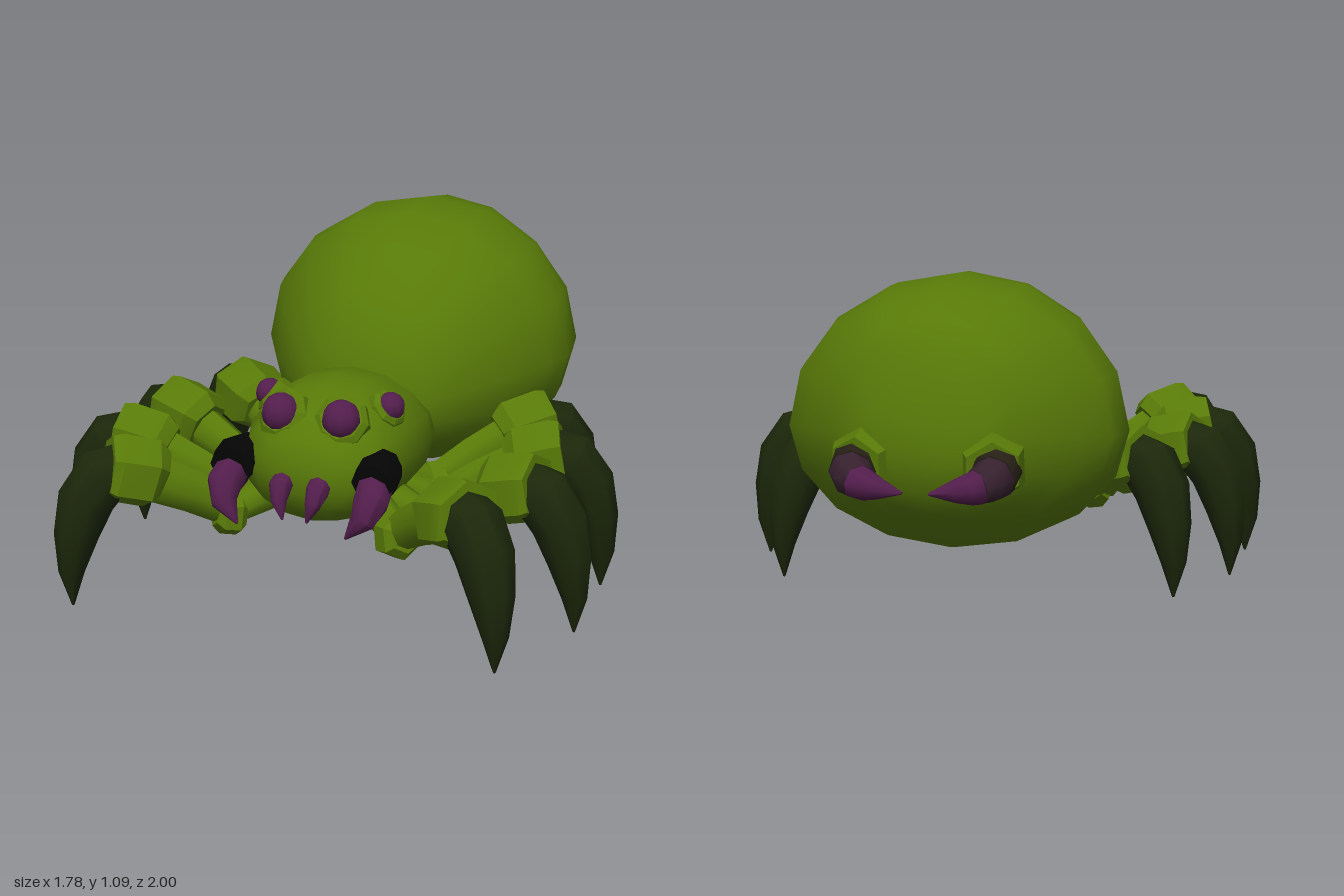
import * as THREE from 'three';
import { toCreasedNormals } from 'three/addons/utils/BufferGeometryUtils.js';

const V = (x, y, z) => new THREE.Vector3(x, y, z);
const mat = (name, color) => new THREE.MeshStandardMaterial({ name, color });

// Closed skin over rings along a path; a radius is a number or [across, upward, downward].
function sweep(path, radii, sides, across, axis, crease) {
  const pos = [], index = [], n = path.length;
  path.forEach((p, i) => {
    const t = axis ? axis.clone()
      : path[Math.min(i + 1, n - 1)].clone().sub(path[Math.max(i - 1, 0)]).normalize();
    const a = across.clone().addScaledVector(t, -across.dot(t)).normalize();
    const up = t.clone().cross(a);
    const [ra, ru = ra, rd = ru] = [radii[i]].flat();
    for (let j = 0; j < sides; j++) {
      const w = Math.PI / 2 + (j / sides) * Math.PI * 2, s = Math.sin(w);
      const q = p.clone().addScaledVector(a, Math.cos(w) * ra)
        .addScaledVector(up, s * (s * up.y > 0 ? ru : rd));
      pos.push(q.x, q.y, q.z);
    }
  });
  const first = n * sides, last = first + 1;
  pos.push(...path[0].toArray(), ...path[n - 1].toArray());
  for (let j = 0; j < sides; j++) {
    const k = (j + 1) % sides;
    for (let i = 0; i < n - 1; i++) {
      const a = i * sides, b = a + sides;
      index.push(a + j, a + k, b + j, a + k, b + k, b + j);
    }
    index.push(first, k, j, last, (n - 1) * sides + j, (n - 1) * sides + k);
  }
  const g = new THREE.BufferGeometry();
  g.setAttribute('position', new THREE.Float32BufferAttribute(pos, 3));
  g.setIndex(index);
  if (crease) return toCreasedNormals(g, crease);
  g.computeVertexNormals();
  return g;
}

export function createModel() {
  const root = new THREE.Group();
  root.name = 'spider';
  const green = mat('leafGreen', 0x587a08);
  const dark = mat('darkGreen', 0x1c270a);
  const brown = mat('darkBrown', 0x262016);
  const plum = mat('darkPlum', 0x36202e);
  const purple = mat('purple', 0x531e4d);
  const black = mat('black', 0x050505);

  const add = (name, geo, material, parent = root) => {
    const m = new THREE.Mesh(geo, material);
    m.name = name;
    parent.add(m);
    return m;
  };

  // Body sections: [z, top, bottom, half width]; k is the share of height above the widest line
  const body = (name, rows, dir, k) => add(name, sweep(
    rows.map(([z, t, b]) => V(0, t - k * (t - b), z)),
    rows.map(([, t, b, w]) => [w, k * (t - b), (1 - k) * (t - b)]),
    16, V(1, 0, 0), V(0, 0, dir)), green);

  body('abdomen', [
    [0.22, 0.63, 0.47, 0.1], [0.18, 0.76, 0.38, 0.22], [0.1, 0.9, 0.31, 0.315],
    [-0.04, 1.01, 0.25, 0.42], [-0.22, 1.08, 0.21, 0.515], [-0.33, 1.088, 0.2, 0.545],
    [-0.45, 1.09, 0.215, 0.535], [-0.53, 1.075, 0.235, 0.52], [-0.64, 1.055, 0.28, 0.435],
    [-0.74, 0.99, 0.35, 0.345], [-0.8, 0.94, 0.4, 0.27], [-0.84, 0.79, 0.47, 0.2],
    [-0.865, 0.7, 0.54, 0.1]], -1, 0.555);
  body('head', [
    [0.08, 0.55, 0.35, 0.15], [0.16, 0.61, 0.3, 0.235], [0.28, 0.68, 0.25, 0.27],
    [0.42, 0.7, 0.24, 0.275], [0.55, 0.69, 0.25, 0.265], [0.65, 0.64, 0.28, 0.235],
    [0.72, 0.58, 0.33, 0.16], [0.745, 0.51, 0.4, 0.08]], 1, 0.5);

  // Legs: coxa x, coxa z, foot x, foot z
  const legs = [
    ['frontLeg', 0.285, 0.645, 0.695, 0.942],
    ['frontMiddleLeg', 0.335, 0.5, 0.845, 0.585],
    ['rearMiddleLeg', 0.325, 0.33, 0.83, 0.2],
    ['rearLeg', 0.25, 0.165, 0.665, -0.13]];

  // Eyes: centre, outward direction, radius
  const eyes = [
    ['frontEye', V(0.1, 0.625, 0.645), V(0.18, 0.6, 0.78), 0.062],
    ['sideEye', V(0.202, 0.632, 0.495), V(0.74, 0.64, 0.2), 0.046]];

  for (const side of [1, -1]) {
    const tag = side > 0 ? 'left' : 'right';
    const P = (x, y, z) => V(side * x, y, z);
    const across = V(1, 0, 0), up = V(0, 1, 0);

    for (const [name, cx, cz, fx, fz] of legs) {
      const leg = new THREE.Group();
      leg.name = `${tag} ${name}`;
      root.add(leg);
      const d = V(fx - cx, 0, fz - cz).normalize();
      const at = ([s, y]) => P(cx + d.x * s, y, cz + d.z * s);
      const flat = V(-d.z, 0, side * d.x);
      const part = (label, pts, radii, sides, m, crease) =>
        add(label, sweep(pts.map(at), radii, sides, flat, null, crease), m, leg);
      part('hip', [[-0.14, 0.33], [0, 0.275]], [0.06, 0.05], 8, green, 0.9);
      part('coxa', [[-0.045, 0.265], [-0.025, 0.268], [0.025, 0.274], [0.045, 0.28]],
        [0.055, 0.08, 0.077, 0.055], 6, green, 0.5);
      part('upperLeg', [[0.015, 0.29], [0.12, 0.35], [0.27, 0.42]],
        [[0.046, 0.062], [0.054, 0.07], [0.068, 0.08]], 8, green, 0.9);
      part('knee', [[0.22, 0.41], [0.25, 0.424], [0.36, 0.455], [0.385, 0.46]],
        [0.085, [0.122, 0.113], [0.13, 0.113], [0.115, 0.103]], 6, green, 0.5);
      part('claw', [[0.33, 0.45], [0.405, 0.43], [0.46, 0.355], [0.495, 0.24], [0.515, 0.12], [0.515, 0.005]],
        [0.09, 0.098, 0.092, 0.072, 0.042, 0.004], 8, dark, 0.9);
    }

    for (const [name, c, n, r] of eyes) {
      const centre = P(c.x, c.y, c.z), out = P(n.x, n.y, n.z).normalize();
      const along = (k) => centre.clone().addScaledVector(out, k * r);
      add(`${tag} ${name}Socket`, sweep([along(-0.7), along(0), along(0.25)],
        [r * 1.45, r * 1.4, r * 1.1], 8, across, null, 0.5), green);
      add(`${tag} ${name}`, new THREE.SphereGeometry(r, 10, 8), purple).position.copy(along(0.12));
    }

    // Outer fang: black root and purple hooked tip
    add(`${tag} fangRoot`, sweep([P(0.225, 0.48, 0.61), P(0.237, 0.475, 0.68), P(0.237, 0.465, 0.745)],
      [0.058, 0.072, 0.067], 8, across, null, 0.9), black);
    add(`${tag} fangTip`, sweep([P(0.237, 0.445, 0.715), P(0.244, 0.42, 0.77), P(0.23, 0.37, 0.807), P(0.18, 0.31, 0.825)],
      [0.058, 0.058, 0.043, 0.004], 8, across, null, 0.9), purple);
    add(`${tag} innerFang`, sweep([P(0.058, 0.445, 0.7), P(0.062, 0.425, 0.755), P(0.056, 0.385, 0.782), P(0.04, 0.33, 0.795)],
      [0.036, 0.038, 0.027, 0.003], 8, across, null, 0.9), purple);

    // Rear hooks in hexagonal collars, darkening towards the base
    add(`${tag} hookCollar`, sweep([P(0.185, 0.565, -0.73), P(0.2, 0.558, -0.82), P(0.21, 0.553, -0.865)],
      [[0.115, 0.108], [0.108, 0.112], [0.09, 0.092]], 6, across, null, 0.5), green);
    add(`${tag} hookBase`, sweep([P(0.2, 0.56, -0.79), P(0.22, 0.55, -0.85), P(0.215, 0.54, -0.89)],
      [0.078, 0.077, 0.072], 8, up, null, 0.9), brown);
    add(`${tag} hookMiddle`, sweep([P(0.218, 0.541, -0.88), P(0.205, 0.53, -0.914), P(0.18, 0.521, -0.938)],
      [0.071, 0.064, 0.055], 8, up, null, 0.9), plum);
    add(`${tag} hookTip`, sweep([P(0.185, 0.522, -0.934), P(0.16, 0.516, -0.95), P(0.115, 0.51, -0.965), P(0.04, 0.5, -0.975)],
      [0.056, 0.05, 0.035, 0.004], 8, up, null, 0.9), purple);
  }
  return root;
}
